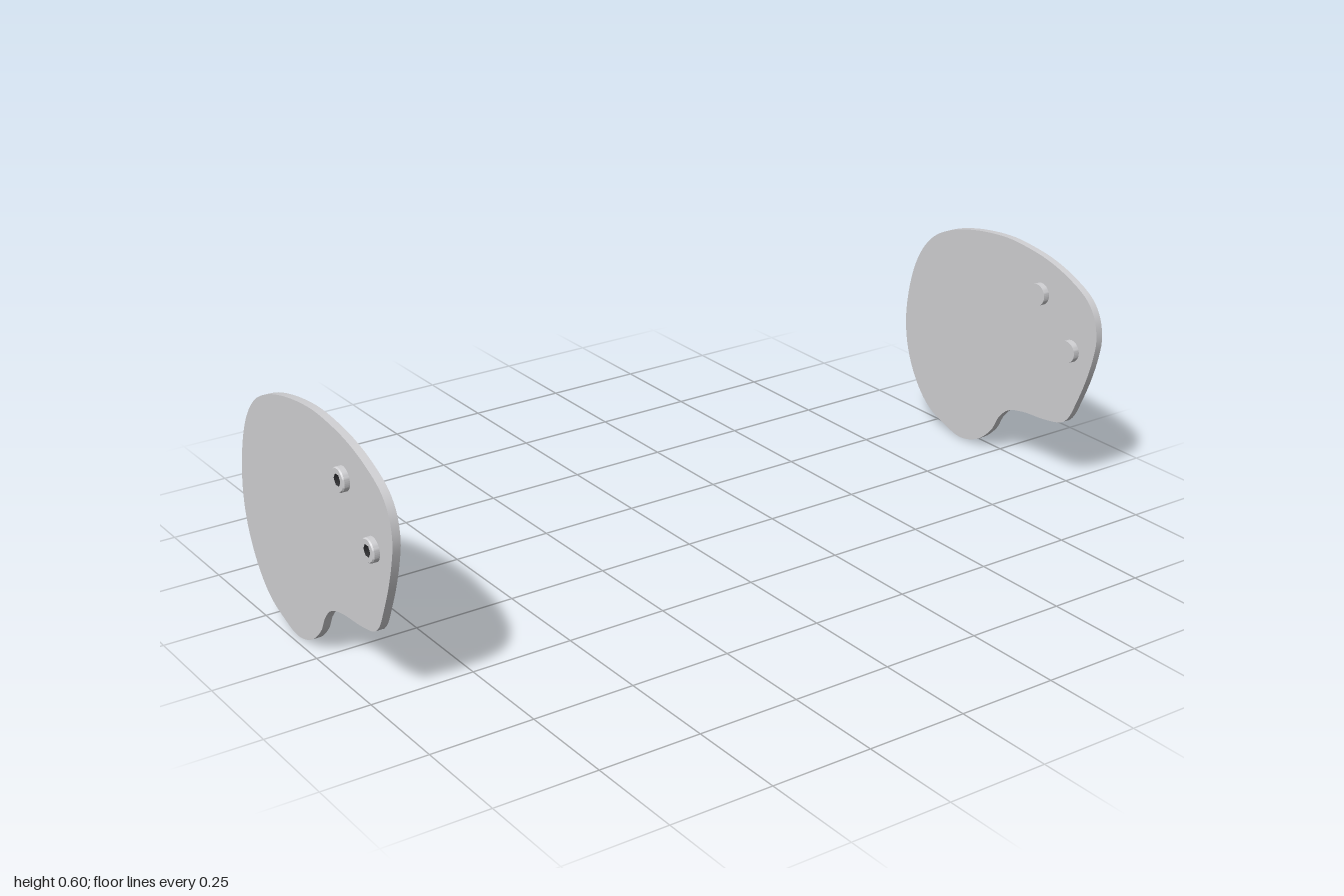
import * as THREE from 'three';
import { toCreasedNormals } from 'three/addons/utils/BufferGeometryUtils.js';

const steel = new THREE.MeshStandardMaterial({ name: 'light steel grey', color: 0xd0d0d3 });
const dark = new THREE.MeshStandardMaterial({ name: 'socket black', color: 0x2e2e31, side: THREE.DoubleSide });

const PLATE_Z = 0.975, PLATE_T = 0.019;
const BOLTS = [[0.155, 0.487], [0.272, 0.371]];

// Kidney-shaped outline, counter-clockwise from the top
const OUTLINE = [
  [0.02, 0.597], [-0.093, 0.585], [-0.188, 0.56], [-0.255, 0.526], [-0.303, 0.475],
  [-0.338, 0.399], [-0.358, 0.278], [-0.345, 0.183], [-0.303, 0.097], [-0.25, 0.043],
  [-0.188, 0.016], [-0.121, 0], [-0.054, 0.018], [0, 0.064], [0.024, 0.106],
  [0.057, 0.137], [0.11, 0.152], [0.194, 0.159], [0.255, 0.172], [0.278, 0.192],
  [0.305, 0.246], [0.33, 0.307], [0.35, 0.374], [0.357, 0.422], [0.346, 0.476],
  [0.317, 0.516], [0.252, 0.553], [0.175, 0.579], [0.098, 0.592],
];

function mesh(name, geometry, material) {
  const m = new THREE.Mesh(geometry, material);
  m.name = name;
  return m;
}

function plateGeometry() {
  const curve = new THREE.CatmullRomCurve3(
    OUTLINE.map(([x, y]) => new THREE.Vector3(x, y, 0)), true, 'centripetal');
  const pts = curve.getSpacedPoints(160).slice(0, -1).map(p => new THREE.Vector2(p.x, p.y));
  const geo = new THREE.ExtrudeGeometry(new THREE.Shape(pts), { depth: PLATE_T, bevelEnabled: false });
  geo.translate(0, 0, -PLATE_T / 2);
  return toCreasedNormals(geo, 0.6);
}

// Round part around the z axis from [radius, z] pairs
function turned(profile) {
  const geo = new THREE.LatheGeometry(profile.map(([r, z]) => new THREE.Vector2(r, z)), 40);
  return toCreasedNormals(geo.rotateX(Math.PI / 2), 0.4);
}

// Bolt through the plate, with its socket head facing +z
function createBolt() {
  const bolt = new THREE.Group();
  bolt.name = 'bolt';
  const t = PLATE_T / 2, top = 0.025, hexR = 0.0148, depth = 0.01;

  bolt.add(mesh('boltEnd', turned([[0, -0.026], [0.028, -0.026], [0.028, -t]]), steel));
  bolt.add(mesh('boltHead', turned([[0.028, t], [0.028, top - 0.003], [0.0255, top]]), steel));

  // Head face with a hexagonal opening
  const face = new THREE.Shape().absarc(0, 0, 0.0255, 0, Math.PI * 2);
  const hex = [];
  for (let i = 0; i < 6; i++) {
    const a = -i * Math.PI / 3;
    hex.push(new THREE.Vector2(Math.cos(a) * hexR, Math.sin(a) * hexR));
  }
  face.holes.push(new THREE.Path(hex));
  bolt.add(mesh('boltFace', new THREE.ShapeGeometry(face, 20).translate(0, 0, top), steel));

  // Socket walls and floor
  const walls = new THREE.CylinderGeometry(hexR, hexR, depth, 6, 1, true, Math.PI / 2);
  walls.rotateX(Math.PI / 2).translate(0, 0, top - depth / 2);
  bolt.add(mesh('socketWalls', walls, dark));
  bolt.add(mesh('socketFloor', new THREE.CircleGeometry(hexR, 6).translate(0, 0, top - depth), dark));
  return bolt;
}

export function createModel() {
  const model = new THREE.Group();
  model.name = 'platePair';
  const plateGeo = plateGeometry();

  // Front and back plates; bolt sockets face outwards on both
  for (const side of [1, -1]) {
    const assembly = new THREE.Group();
    assembly.name = side > 0 ? 'frontPlateAssembly' : 'backPlateAssembly';
    assembly.position.z = side * PLATE_Z;
    assembly.add(mesh('plate', plateGeo, steel));
    for (const [x, y] of BOLTS) {
      const bolt = createBolt();
      bolt.position.set(x, y, 0);
      if (side < 0) bolt.rotation.y = Math.PI;
      assembly.add(bolt);
    }
    model.add(assembly);
  }
  return model;
}
